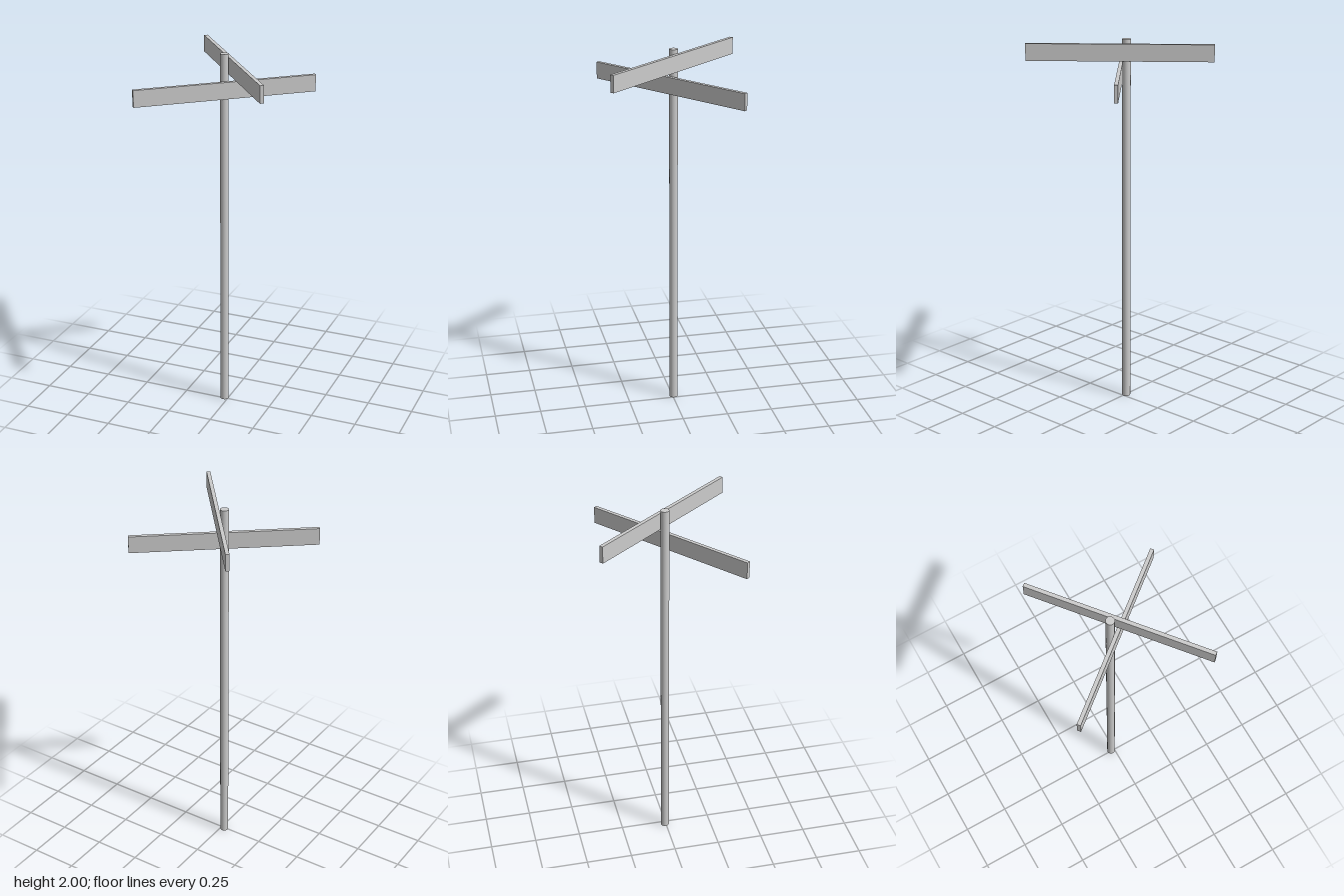
import * as THREE from 'three';

export function createModel() {
  const group = new THREE.Group();
  const material = new THREE.MeshStandardMaterial({ color: 0xcccccc });

  // Upright pole
  const pole = new THREE.Mesh(new THREE.CylinderGeometry(0.0225, 0.0225, 2, 24), material);
  pole.name = 'pole';
  pole.position.set(-0.02, 1, -0.005);
  group.add(pole);

  // Two crossed street-sign blades, each resting against the side of the pole
  const blades = [
    { name: 'upperSign', position: [0.026, 1.934, 0], angle: -0.89 },
    { name: 'lowerSign', position: [-0.002, 1.814, 0.022], angle: Math.PI / 2 - 0.89 },
  ];
  const bladeGeometry = new THREE.BoxGeometry(0.975, 0.09, 0.02);
  for (const { name, position, angle } of blades) {
    const blade = new THREE.Mesh(bladeGeometry, material);
    blade.name = name;
    blade.position.set(...position);
    blade.rotation.y = angle;
    group.add(blade);
  }

  return group;
}
